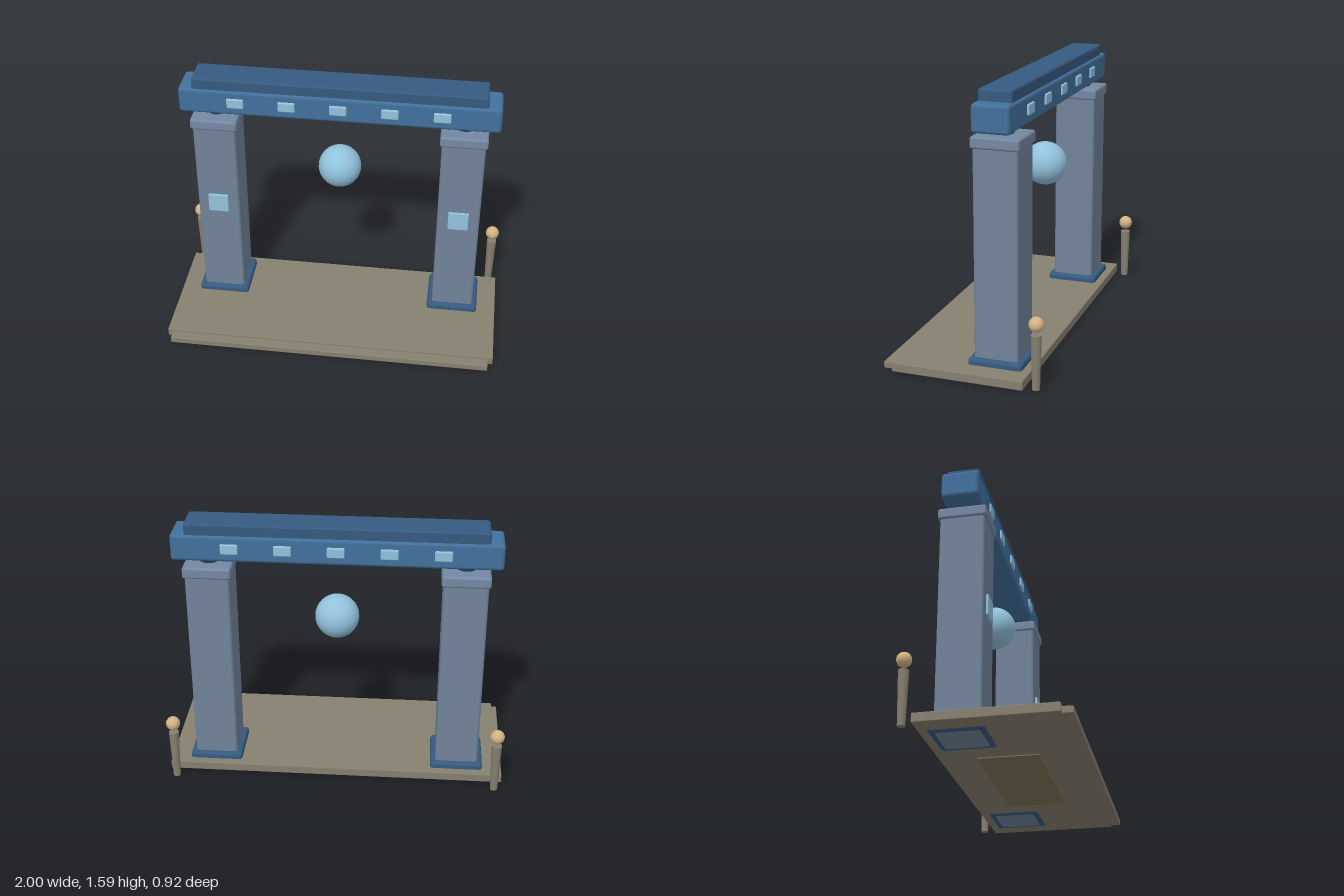
import * as THREE from 'three';
import { RoundedBoxGeometry } from 'three/addons/geometries/RoundedBoxGeometry.js';

const mat = (color) => new THREE.MeshStandardMaterial({ color });

export function createModel() {
  const model = new THREE.Group();
  model.name = 'gateway';

  const stone = mat(0x718399);
  const capStone = mat(0x7488a3);
  const beamBlue = mat(0x42709c);
  const darkBlue = mat(0x365a80);
  const glow = mat(0x92c2dd);
  const paving = mat(0x878071);
  const underside = mat(0x7d7254);
  const brass = mat(0xd2b484);

  const add = (name, geometry, material, x, y, z) => {
    const mesh = new THREE.Mesh(geometry, material);
    mesh.name = name;
    mesh.position.set(x, y, z);
    model.add(mesh);
    return mesh;
  };
  // Box from its extents, optionally with rounded edges
  const block = (name, material, [x0, x1], [y0, y1], [z0, z1], radius = 0) => {
    const size = [x1 - x0, y1 - y0, z1 - z0];
    const geometry = radius
      ? new RoundedBoxGeometry(...size, 2, radius)
      : new THREE.BoxGeometry(...size);
    return add(name, geometry, material, (x0 + x1) / 2, (y0 + y1) / 2, (z0 + z1) / 2);
  };

  const zMid = -0.158; // centre line of the arch

  // Ground slab, front step and the foundation panel below
  block('platform', paving, [-1, 1], [0.01, 0.063], [-0.36, 0.4], 0.005);
  block('frontStep', paving, [-0.97, 0.97], [0.01, 0.05], [0.38, 0.46], 0.005);
  block('foundationPanel', underside, [-0.43, 0.43], [0.004, 0.02], [-0.15, 0.19]);

  for (const s of [-1, 1]) {
    const px = s * 0.728;
    const around = (half) => [px - half, px + half];
    const depth = (half) => [zMid - half, zMid + half];

    // Pillar with plinth, capital and flared neck
    block('plinth', darkBlue, around(0.156), [0.003, 0.1], depth(0.156), 0.02);
    block('pillar', stone, around(0.127), [0, 1.3], depth(0.127), 0.016);
    block('capital', capStone, around(0.138), [1.27, 1.337], depth(0.138), 0.014);
    add('neck', new THREE.CylinderGeometry(0.09, 0.05, 0.05, 20), darkBlue, px, 1.352, zMid);
    block('pillarPanel', glow, around(0.061), [0.69, 0.81], [-0.045, -0.017], 0.004);

    // Lantern post behind the platform corner
    const lx = s * 0.953;
    add('lanternPost', new THREE.CylinderGeometry(0.03, 0.022, 0.31, 12), paving, lx, 0.165, -0.422);
    add('lanternBall', new THREE.SphereGeometry(0.042, 16, 12), brass, lx, 0.38, -0.422);
  }

  // Lintel and its top course
  block('lintel', beamBlue, [-0.93, 0.93], [1.368, 1.525], [-0.265, -0.052], 0.02);
  block('topCourse', darkBlue, [-0.85, 0.85], [1.51, 1.59], [-0.253, -0.064], 0.014);

  // Inlays showing on both faces of the lintel
  for (let i = -2; i <= 2; i++) {
    const x = i * 0.298;
    block('lintelInlay', glow, [x - 0.05, x + 0.05], [1.418, 1.48], [-0.276, -0.041], 0.008);
  }

  // Floating orb
  add('orb', new THREE.SphereGeometry(0.128, 32, 24), glow, 0, 1, zMid);

  return model;
}
